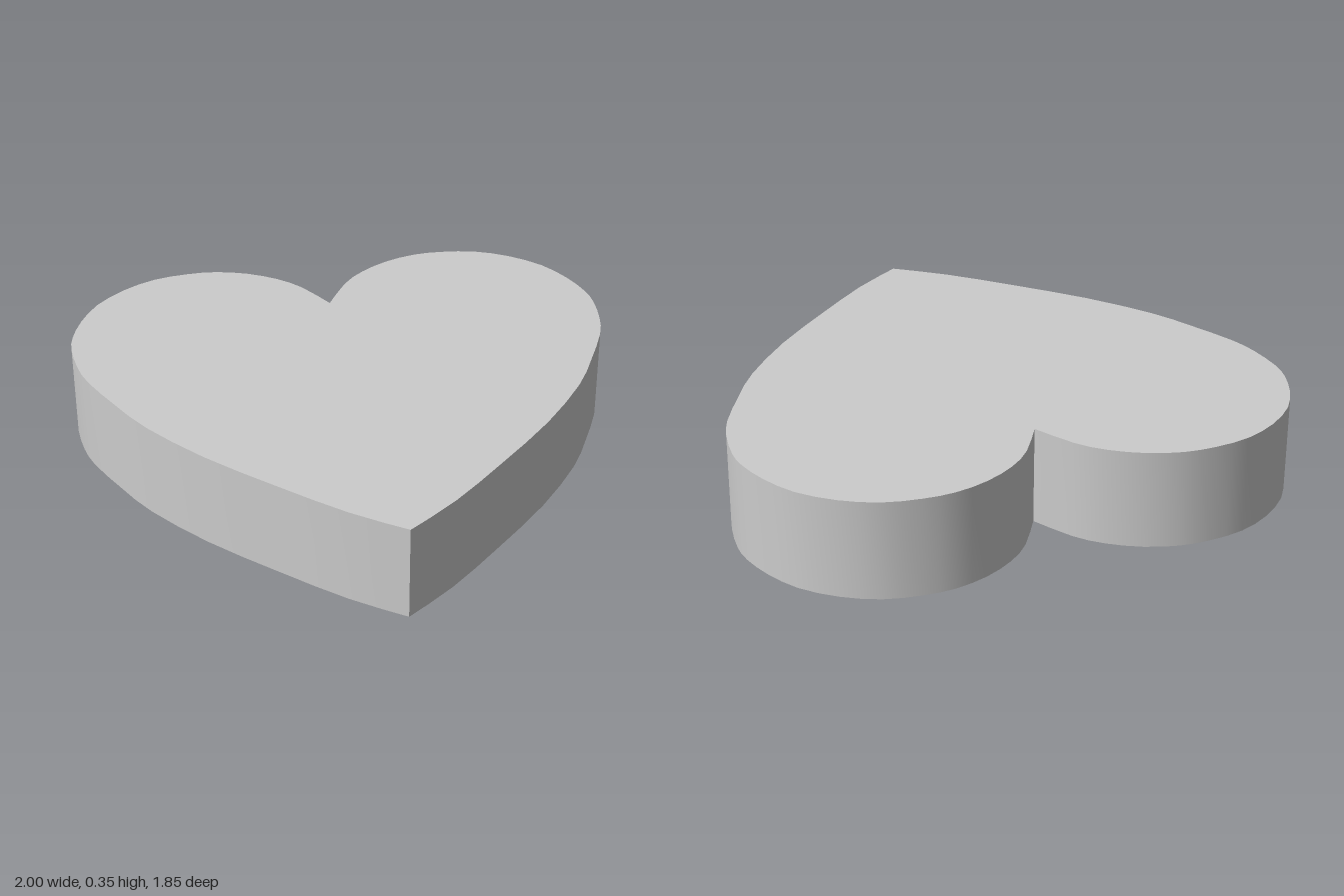
import * as THREE from 'three';
import { toCreasedNormals } from 'three/addons/utils/BufferGeometryUtils.js';

const HEIGHT = 0.355;

// Half outline from the cleft round the lobe to the tip, as (x, z)
const HALF = [
  [0, -0.595], [0.085, -0.737], [0.17, -0.822], [0.28, -0.887], [0.4, -0.923],
  [0.515, -0.926], [0.645, -0.904], [0.77, -0.841], [0.88, -0.743], [0.95, -0.625],
  [0.99, -0.51], [1, -0.42], [0.987, -0.29], [0.955, -0.175], [0.87, 0],
  [0.78, 0.16], [0.605, 0.38], [0.385, 0.6], [0.18, 0.79], [0, 0.923],
];

export function createModel() {
  const model = new THREE.Group();
  model.name = 'heart';

  // Smooth curve through the half outline, mirrored to close the heart
  const curve = new THREE.SplineCurve(HALF.map(([x, z]) => new THREE.Vector2(x, -z)));
  const half = curve.getPoints((HALF.length - 1) * 2);
  const mirrored = half.slice(1, -1).reverse().map((p) => new THREE.Vector2(-p.x, p.y));
  const shape = new THREE.Shape([...half, ...mirrored]);

  // Straight-walled slab: smooth sides, sharp rims, cleft and tip
  const slab = new THREE.ExtrudeGeometry(shape, { depth: HEIGHT, bevelEnabled: false });
  slab.rotateX(-Math.PI / 2);

  const body = new THREE.Mesh(
    toCreasedNormals(slab, Math.PI / 6),
    new THREE.MeshStandardMaterial({ color: 0xcccccc })
  );
  body.name = 'heartSlab';
  model.add(body);
  return model;
}
